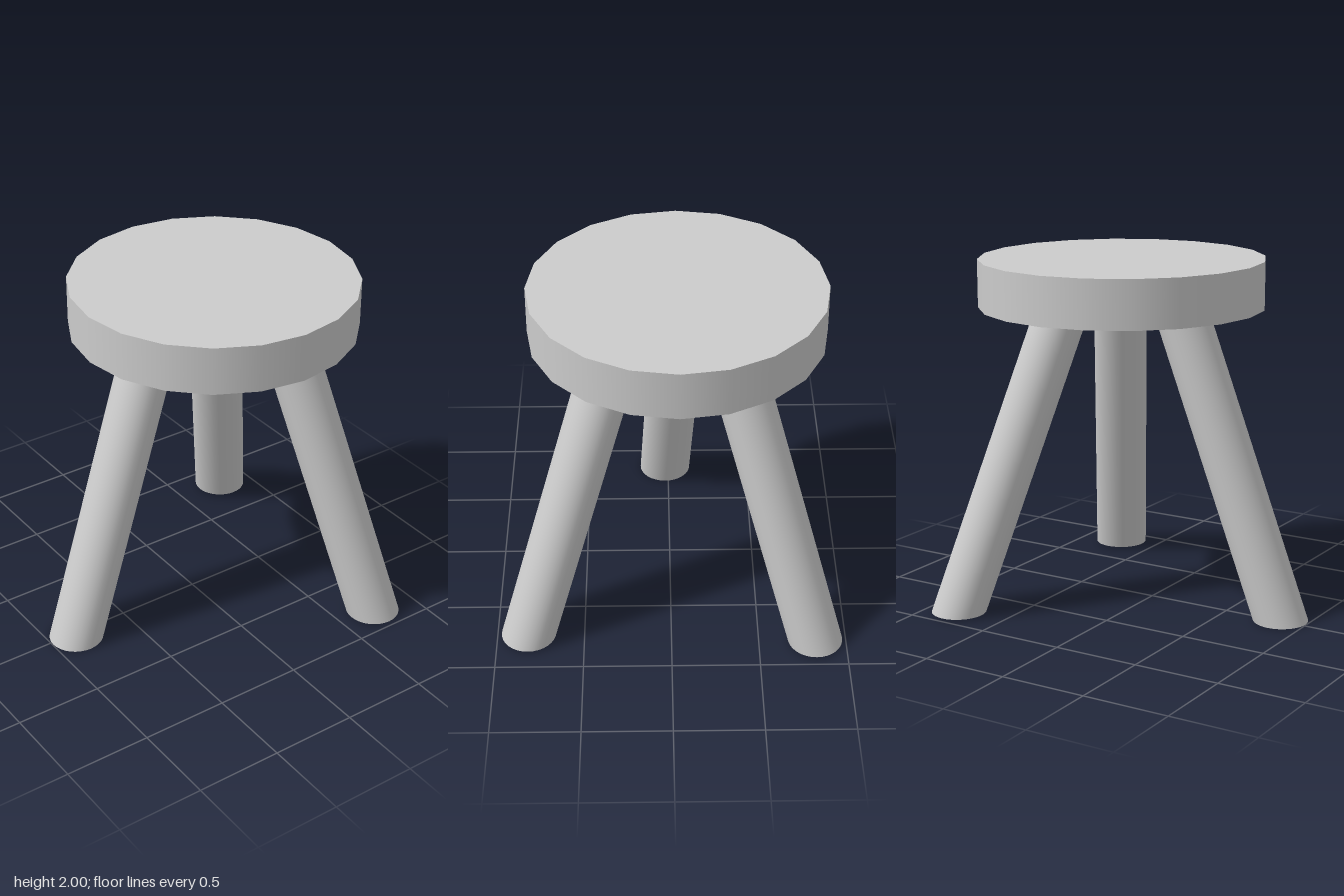
import * as THREE from 'three';

const material = new THREE.MeshStandardMaterial({ color: 0xcccccc });
const SEAT_BOTTOM = 1.725;
const LEG_RADIUS = 0.157;

// Slanted leg with level ends: an upright cylinder sheared from foot to top.
function makeLeg(name, foot, top) {
  const height = top.y - foot.y;
  const sx = (top.x - foot.x) / height;
  const sz = (top.z - foot.z) / height;
  const geometry = new THREE.CylinderGeometry(LEG_RADIUS, LEG_RADIUS, height, 32);
  geometry.translate(0, height / 2, 0);
  geometry.applyMatrix4(new THREE.Matrix4().set(
    1, sx, 0, foot.x,
    0, 1, 0, foot.y,
    0, sz, 1, foot.z,
    0, 0, 0, 1
  ));
  const leg = new THREE.Mesh(geometry, material);
  leg.name = name;
  return leg;
}

export function createModel() {
  const stool = new THREE.Group();
  stool.name = 'stool';

  // Round seat with twenty sides, slightly off centre over the legs
  const thickness = 2 - SEAT_BOTTOM;
  const seat = new THREE.Mesh(new THREE.CylinderGeometry(0.82, 0.82, thickness, 20), material);
  seat.name = 'seat';
  seat.position.set(-0.04, SEAT_BOTTOM + thickness / 2, -0.175);
  stool.add(seat);

  // Three splayed legs: foot centre, then centre where the leg meets the seat
  const legs = [
    ['frontLeg', [0.02, 0, 0.838], [-0.065, SEAT_BOTTOM, 0.23]],
    ['backLeftLeg', [0.82, 0.01, -0.73], [0.315, SEAT_BOTTOM, -0.412]],
    ['backRightLeg', [-0.823, 0.01, -0.797], [-0.33, SEAT_BOTTOM, -0.392]],
  ];
  for (const [name, foot, joint] of legs) {
    const start = new THREE.Vector3(...foot);
    const end = new THREE.Vector3(...joint);
    // Run a little past the joint so the leg is set into the seat
    const top = start.clone().lerp(end, 1.03);
    stool.add(makeLeg(name, start, top));
  }

  return stool;
}
